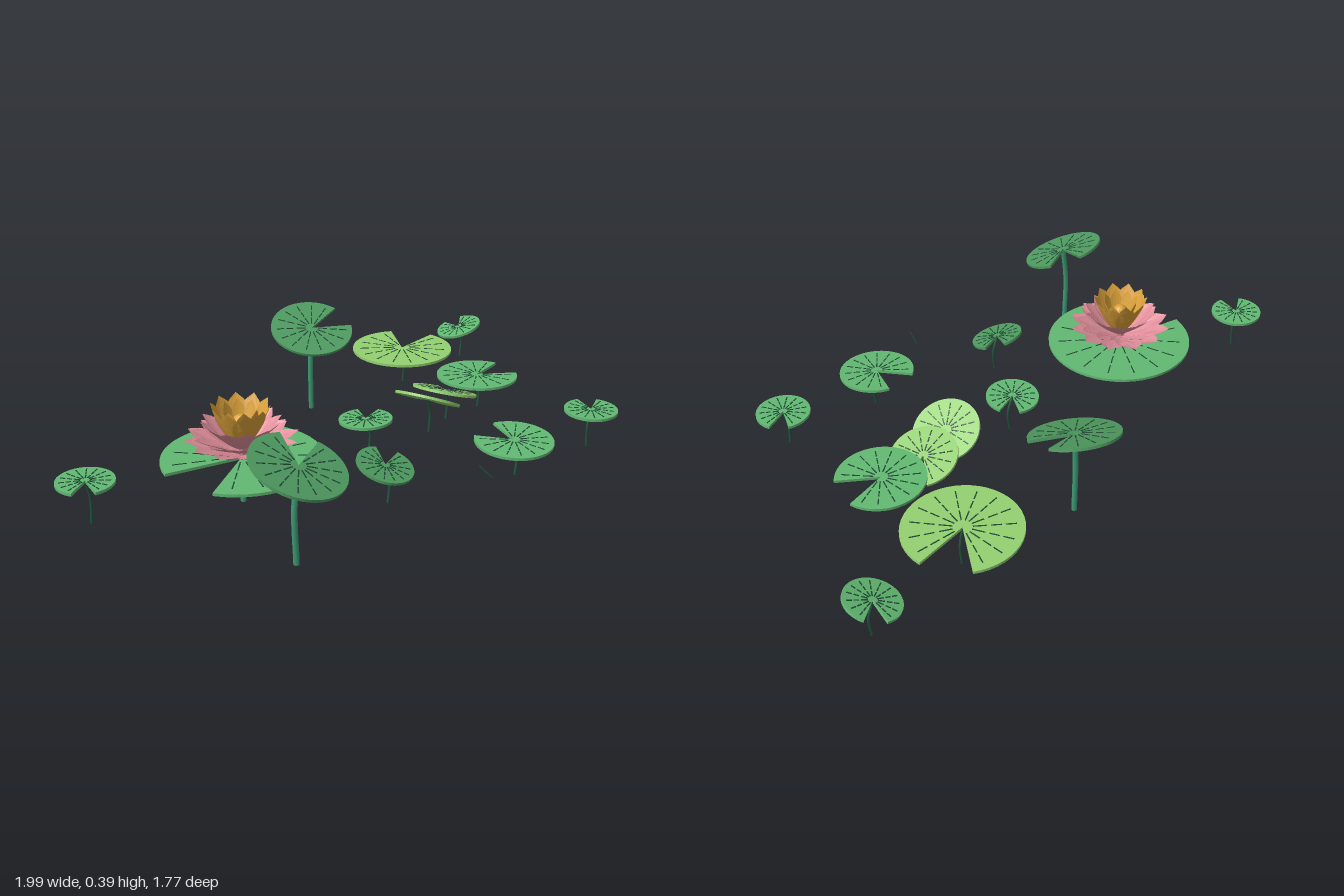
import * as THREE from 'three';
import { mergeGeometries } from 'three/addons/utils/BufferGeometryUtils.js';

const mat = (color, extra = {}) => new THREE.MeshStandardMaterial({ color, ...extra });
const GREEN = mat(0x62b872), DARK = mat(0x4f9a60), LIGHT = mat(0x93d070);
const VEIN = mat(0x1f4a34), THIN_STEM = mat(0x23503e), STEM = mat(0x3c9a72);
const PINK = mat(0xe2909c, { flatShading: true, side: THREE.DoubleSide });
const GOLD = mat(0xdca23a, { flatShading: true, side: THREE.DoubleSide });
const THICK = 0.01;

function mesh(name, geometry, material) {
  const m = new THREE.Mesh(geometry, material);
  m.name = name;
  return m;
}

// Round leaf with a wedge cut out; the notch angle runs from +x towards +z
function leafGeometry(r, notch, gap) {
  const shape = new THREE.Shape();
  shape.moveTo(0, 0);
  const n = 40;
  for (let i = 0; i <= n; i++) {
    const a = notch + gap / 2 + (i / n) * (2 * Math.PI - gap);
    shape.lineTo(r * Math.cos(a), r * Math.sin(a));
  }
  const g = new THREE.ExtrudeGeometry(shape, { depth: THICK, bevelEnabled: false });
  g.rotateX(Math.PI / 2).translate(0, THICK / 2, 0);
  return g;
}

// Dashed radial ribs lying on the leaf
function veinGeometry(r, notch, gap) {
  const parts = [], n = 13;
  for (let i = 0; i < n; i++) {
    const a = notch + gap / 2 + ((i + 0.5) / n) * (2 * Math.PI - gap);
    for (const [from, to] of [[0.16, 0.38], [0.45, 0.62], [0.68, 0.86]]) {
      const g = new THREE.BoxGeometry((to - from) * r, 0.002, 0.004);
      g.translate((from + to) * r / 2, THICK / 2 + 0.0005, 0).rotateY(-a);
      parts.push(g);
    }
  }
  return mergeGeometries(parts);
}

function stem(x, y, z, radius, bend, foot, material) {
  const curve = new THREE.CatmullRomCurve3([
    new THREE.Vector3(x, y, z),
    new THREE.Vector3(x + bend, y * 0.6, z - bend * 0.6),
    new THREE.Vector3(x + bend * 0.7, foot, z - bend * 0.4),
  ]);
  return mesh('stem', new THREE.TubeGeometry(curve, 10, radius, 8), material);
}

// Petal: strip from base to tip, wide past the middle, with raised edges
function petalGeometry(r0, y0, r1, y1, width, cup) {
  const g = new THREE.PlaneGeometry(1, 1, 4, 6);
  const p = g.attributes.position;
  for (let i = 0; i < p.count; i++) {
    const s = p.getX(i) * 2, t = p.getY(i) + 0.5;
    const w = width * 0.5 * (0.25 * (1 - t) + Math.pow(Math.sin(Math.PI * Math.pow(t, 1.25)), 0.8));
    p.setXYZ(i,
      r0 + (r1 - r0) * t - cup * s * s * (1 - t) * 0.2,
      y0 + (y1 - y0) * Math.pow(t, 1.2) + cup * s * s * Math.sin(Math.PI * t),
      w * s);
  }
  g.computeVertexNormals();
  return g;
}

function petalRing(name, count, offset, args, material) {
  const parts = [];
  for (let i = 0; i < count; i++) {
    parts.push(petalGeometry(...args).rotateY(((i + offset) / count) * Math.PI * 2));
  }
  return mesh(name, mergeGeometries(parts), material);
}

export function createModel() {
  const root = new THREE.Group();
  root.name = 'waterLilies';

  // x, y, z, radius, notch degrees, gap degrees, slope in x, slope in z, colour, stem bend, tall stem
  const pads = [
    [-0.39, 0.163, 0.298, 0.27, 142, 46, 0, 0, GREEN, 0, true],
    [-0.29, 0.33, 0.735, 0.155, -79, 46, -0.27, -0.25, DARK, -0.015, true],
    [0, 0.333, -0.42, 0.156, -21, 43, 0, -0.38, DARK, -0.006, true],
    [0.41, 0.16, -0.575, 0.2, -62, 50, 0, 0, LIGHT, 0.012, false],
    [0.62, 0.148, -0.255, 0.155, -17, 49, 0, 0.02, GREEN, 0.015, false],
    [0.46, 0.135, -0.165, 0.122, -60, 45, -0.25, 0.25, LIGHT, 0.015, false],
    [0.36, 0.152, -0.065, 0.122, -65, 45, -0.35, 0.38, LIGHT, 0.015, false],
    [0.09, 0.152, 0.065, 0.096, -70, 45, 0.03, 0.05, GREEN, 0.02, false],
    [0.055, 0.157, 0.45, 0.098, -73, 45, -0.22, -0.22, DARK, 0.02, false],
    [0.54, 0.15, 0.35, 0.137, -128, 54, 0, -0.05, GREEN, 0.02, false],
    [0.9, 0.156, 0.18, 0.096, -75, 42, 0, 0, GREEN, -0.012, false],
    [-0.9, 0.166, 0.36, 0.096, 96, 45, 0, 0, GREEN, 0.012, false],
    [0.73, 0.15, -0.8, 0.094, -88, 45, 0.33, 0, GREEN, 0.018, false],
  ];
  const up = new THREE.Vector3(0, 1, 0);
  for (const [x, y, z, r, notchDeg, gapDeg, sx, sz, color, bend, tall] of pads) {
    const notch = THREE.MathUtils.degToRad(notchDeg), gap = THREE.MathUtils.degToRad(gapDeg);
    const pad = new THREE.Group();
    pad.name = 'lilyPad';
    const leaf = new THREE.Group();
    leaf.name = 'leaf';
    leaf.add(mesh('leafBlade', leafGeometry(r, notch, gap), color));
    leaf.add(mesh('leafVeins', veinGeometry(r, notch, gap), VEIN));
    leaf.position.set(x, y, z);
    leaf.quaternion.setFromUnitVectors(up, new THREE.Vector3(-sx, 1, -sz).normalize());
    pad.add(leaf);
    pad.add(stem(x, y, z, tall ? 0.01 : 0.005, bend, tall ? 0.005 : 0.015, tall ? STEM : THIN_STEM));
    root.add(pad);
  }

  // Flower: base radius, base height, tip radius, tip height, petal width, cup
  const flower = new THREE.Group();
  flower.name = 'flower';
  flower.position.set(-0.39, 0, 0.298);
  flower.add(
    petalRing('outerPetals', 12, 0, [0.015, 0.18, 0.19, 0.245, 0.085, 0.012], PINK),
    petalRing('secondPetals', 12, 0.5, [0.015, 0.19, 0.165, 0.262, 0.075, 0.014], PINK),
    petalRing('thirdPetals', 12, 0, [0.015, 0.2, 0.135, 0.305, 0.065, 0.014], PINK),
    petalRing('goldPetals', 10, 0.5, [0.03, 0.22, 0.1, 0.358, 0.07, 0.012], GOLD),
    petalRing('innerGoldPetals', 8, 0, [0.02, 0.22, 0.065, 0.35, 0.05, 0.01], GOLD));
  const heart = mesh('flowerHeart', new THREE.SphereGeometry(0.03, 12, 8), GOLD);
  heart.position.y = 0.29;
  const base = mesh('flowerBase', new THREE.CylinderGeometry(0.03, 0.018, 0.11, 10), PINK);
  base.position.y = 0.22;
  flower.add(heart, base);
  root.add(flower);

  // Loose twig floating between the pads
  const twig = new THREE.LineCurve3(new THREE.Vector3(0.362, 0.145, 0.5), new THREE.Vector3(0.373, 0.145, 0.592));
  root.add(mesh('looseTwig', new THREE.TubeGeometry(twig, 1, 0.002, 5), VEIN));
  return root;
}
